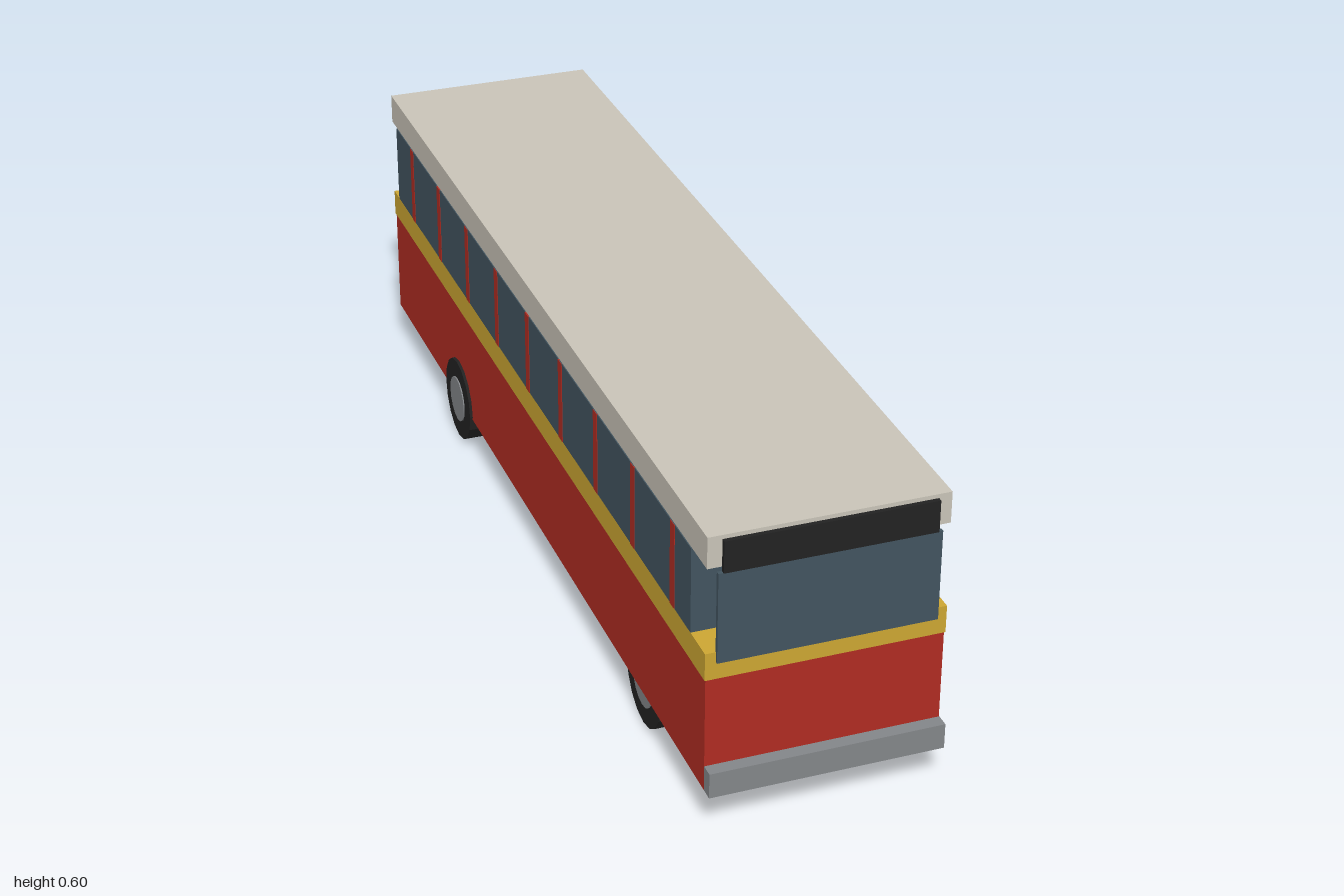
import * as THREE from 'three';

function mat(name, color, flatShading = false) {
  const m = new THREE.MeshStandardMaterial({ color, flatShading });
  m.name = name;
  return m;
}

export function createModel() {
  const bus = new THREE.Group();
  bus.name = 'bus';

  const red = mat('red paint', 0xb02c22);
  const yellow = mat('yellow stripe', 0xcca633);
  const cream = mat('cream roof', 0xc9c4b8);
  const glass = mat('blue glass', 0x42545f);
  const grey = mat('grey metal', 0x838689);
  const black = mat('black rubber', 0x222222, true);

  // Box given by its limits on each axis
  function box(name, material, [x0, x1], [y0, y1], [z0, z1]) {
    const mesh = new THREE.Mesh(new THREE.BoxGeometry(x1 - x0, y1 - y0, z1 - z0), material);
    mesh.position.set((x0 + x1) / 2, (y0 + y1) / 2, (z0 + z1) / 2);
    mesh.name = name;
    bus.add(mesh);
  }

  // Body, belt stripe, glazed cabin and roof
  box('lowerBody', red, [-0.224, 0.224], [0.083, 0.315], [-0.998, 0.974]);
  box('beltStripe', yellow, [-0.226, 0.226], [0.315, 0.37], [-1, 0.976]);
  box('cabinGlass', glass, [-0.226, 0.226], [0.37, 0.54], [-0.96, 0.905]);
  box('roof', cream, [-0.224, 0.224], [0.54, 0.602], [-1, 0.975]);

  // Front details
  box('windscreen', glass, [-0.206, 0.207], [0.35, 0.531], [0.974, 0.982]);
  box('destinationSign', black, [-0.197, 0.199], [0.531, 0.594], [0.975, 0.984]);
  box('frontBumper', grey, [-0.224, 0.225], [0.083, 0.134], [0.974, 1]);

  // Window pillars along both sides
  for (let i = 0; i < 9; i++) {
    const z = 0.814 - i * 0.206;
    box('pillarLeft', red, [0.222, 0.229], [0.37, 0.54], [z - 0.011, z + 0.011]);
    box('pillarRight', red, [-0.227, -0.222], [0.37, 0.54], [z - 0.011, z + 0.011]);
  }

  // Cylinder lying along x
  function disc(name, material, radius, x0, x1, z) {
    const geometry = new THREE.CylinderGeometry(radius, radius, x1 - x0, 16);
    geometry.rotateZ(Math.PI / 2);
    const mesh = new THREE.Mesh(geometry, material);
    mesh.position.set((x0 + x1) / 2, 0.09, z);
    mesh.name = name;
    bus.add(mesh);
  }

  // Narrow front wheels with hubs on both faces, wide rear wheels with one hub face
  for (const side of [-1, 1]) {
    const front = side * 0.1875;
    disc('frontTyre', black, 0.09, front - 0.0275, front + 0.0275, 0.635);
    disc('frontHub', grey, 0.05, front - 0.03, front + 0.03, 0.635);
    const rear = side * 0.1775;
    disc('rearTyre', black, 0.09, rear - 0.0525, rear + 0.0525, -0.513);
    disc('rearHub', grey, 0.05, rear - 0.055, rear, -0.513);
  }

  return bus;
}
